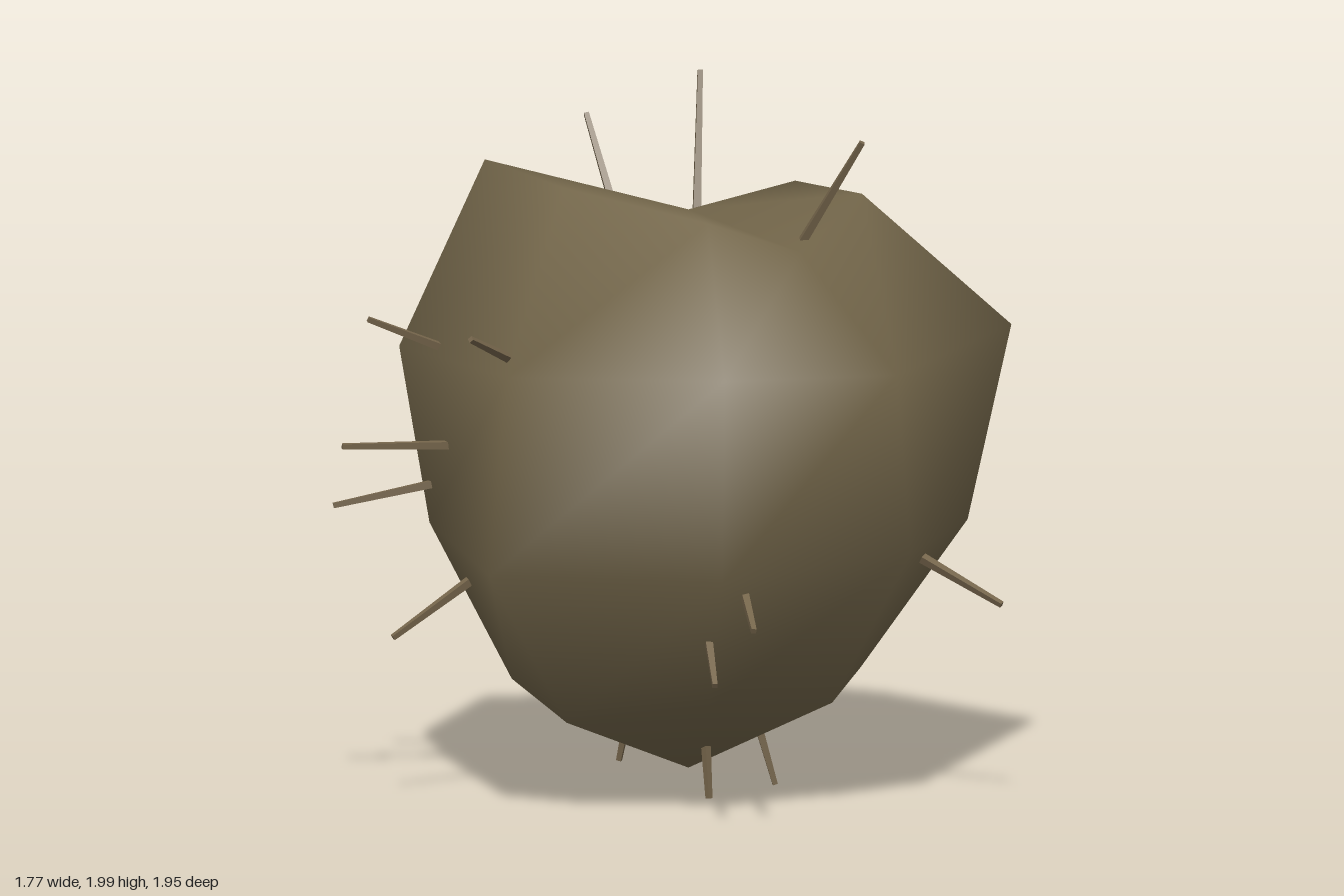
import * as THREE from 'three';

const CENTER = new THREE.Vector3(-0.02, 1.02, 0.015);
const SEGMENTS = 8;
const TOP_RADIUS = 0.64;
const BOTTOM_RADIUS = 0.95;

// Radius of every body vertex, ring by ring from the top down.
// Each ring runs from -x by way of +z, +x and -z.
const RINGS = [
  [0.80, 0.98, 0.955, 0.84, 0.69, 0.835, 0.816, 0.67],
  [0.87, 0.86, 0.86, 0.97, 0.79, 0.96, 0.82, 0.74],
  [0.905, 0.77, 0.94, 0.915, 0.84, 0.83, 0.82, 0.71],
  [0.965, 0.85, 0.93, 0.86, 0.88, 0.83, 0.83, 0.85],
];

// Spikes: [tip, point where it leaves the body]
const SPIKES = [
  // crown
  [[0.53, 1.895, -0.08], [0.34, 1.60, -0.05]],
  [[-0.21, 2.00, -0.275], [-0.13, 1.62, -0.16]],
  [[-0.60, 1.84, -0.25], [-0.41, 1.55, -0.16]],
  // front
  [[-0.04, 1.41, 0.97], [-0.04, 1.34, 0.81]],
  [[-0.52, 1.40, 0.83], [-0.40, 1.31, 0.65]],
  [[-0.59, 1.035, 0.86], [-0.41, 1.03, 0.65]],
  [[-0.71, 0.84, 0.75], [-0.50, 0.90, 0.55]],
  [[-0.48, 0.49, 0.77], [-0.36, 0.63, 0.60]],
  // left side
  [[0.88, 0.59, -0.27], [0.70, 0.69, -0.20]],
  [[0.70, 0.61, 0.62], [0.59, 0.68, 0.52]],
  [[0.56, 0.44, 0.62], [0.46, 0.53, 0.52]],
  // underside
  [[-0.33, 0.05, -0.06], [-0.28, 0.22, -0.05]],
  [[0.13, 0.01, 0.11], [0.11, 0.17, 0.10]],
  [[0.16, 0.02, -0.15], [0.13, 0.17, -0.12]],
  // back
  [[-0.36, 1.04, -0.97], [-0.24, 1.035, -0.64]],
  [[-0.76, 1.23, -0.68], [-0.52, 1.15, -0.47]],
];

// Coarse lumpy ball: two poles and four rings, smooth all round
function bodyGeometry() {
  const points = [];
  const index = [];
  const addPoint = (radius, polar, turn) => {
    const dir = new THREE.Vector3(
      -Math.cos(turn) * Math.sin(polar), Math.cos(polar), Math.sin(turn) * Math.sin(polar));
    points.push(dir.multiplyScalar(radius).add(CENTER));
  };
  const step = Math.PI / (RINGS.length + 1);
  RINGS.forEach((ring, k) => ring.forEach((radius, i) =>
    addPoint(radius, (k + 1) * step, (i / SEGMENTS) * Math.PI * 2)));
  addPoint(TOP_RADIUS, 0, 0);
  addPoint(BOTTOM_RADIUS, Math.PI, 0);
  const top = points.length - 2;
  const bottom = points.length - 1;
  const last = (RINGS.length - 1) * SEGMENTS;

  for (let i = 0; i < SEGMENTS; i++) {
    const j = (i + 1) % SEGMENTS;
    index.push(top, i, j);
    for (let row = 0; row < last; row += SEGMENTS) {
      const low = row + SEGMENTS;
      index.push(row + i, low + i, row + j, row + j, low + i, low + j);
    }
    index.push(last + i, bottom, last + j);
  }
  const geometry = new THREE.BufferGeometry().setFromPoints(points);
  geometry.setIndex(index);
  geometry.computeVertexNormals();
  return geometry;
}

// Thin tapered rod, rooted a little inside the body
function makeSpike([tipPoint, basePoint], material) {
  const tip = new THREE.Vector3(...tipPoint);
  const base = new THREE.Vector3(...basePoint);
  const dir = tip.clone().sub(base).normalize();
  base.addScaledVector(dir, -0.1);
  const length = tip.distanceTo(base);
  const geometry = new THREE.CylinderGeometry(0.010, 0.017, length, 4).toNonIndexed();
  geometry.computeVertexNormals();
  const spike = new THREE.Mesh(geometry, material);
  spike.quaternion.setFromUnitVectors(new THREE.Vector3(0, 1, 0), dir);
  spike.position.copy(base).add(tip).multiplyScalar(0.5);
  spike.name = 'spike';
  return spike;
}

export function createModel() {
  const model = new THREE.Group();
  model.name = 'spikyBoulder';

  const bodyMaterial = new THREE.MeshStandardMaterial({ color: 0x73664a });
  bodyMaterial.name = 'earthBrown';
  const spikeMaterial = new THREE.MeshStandardMaterial({ color: 0x75654b });
  spikeMaterial.name = 'twigBrown';

  const body = new THREE.Mesh(bodyGeometry(), bodyMaterial);
  body.name = 'body';
  model.add(body);

  const spikes = new THREE.Group();
  spikes.name = 'spikes';
  for (const s of SPIKES) spikes.add(makeSpike(s, spikeMaterial));
  model.add(spikes);

  return model;
}
